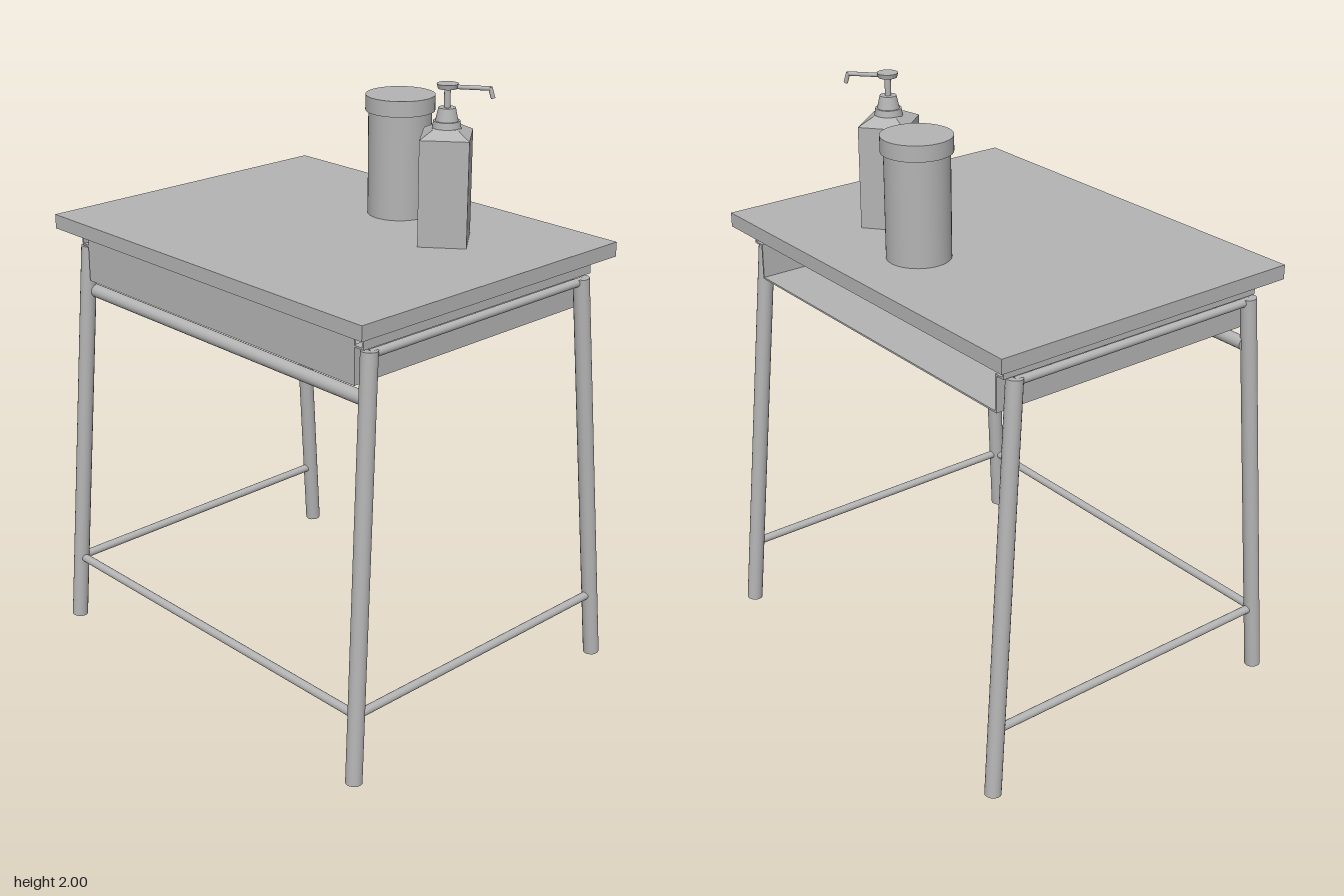
import * as THREE from 'three';

export function createModel() {
  const model = new THREE.Group();
  const grey = new THREE.MeshStandardMaterial({ color: 0xb4b4b4 });
  grey.name = 'plain grey';

  const add = (parent, name, geometry, x = 0, y = 0, z = 0) => {
    const mesh = new THREE.Mesh(geometry, grey);
    mesh.name = name;
    mesh.position.set(x, y, z);
    parent.add(mesh);
    return mesh;
  };
  // Box given by its min and max on each axis
  const slab = (parent, name, x0, x1, y0, y1, z0, z1) =>
    add(parent, name, new THREE.BoxGeometry(x1 - x0, y1 - y0, z1 - z0),
      (x0 + x1) / 2, (y0 + y1) / 2, (z0 + z1) / 2);
  // Straight round bar between two points
  const bar = (parent, name, a, b, r, sides = 20) => {
    const from = new THREE.Vector3(...a), to = new THREE.Vector3(...b);
    const dir = to.clone().sub(from);
    const mesh = add(parent, name, new THREE.CylinderGeometry(r, r, dir.length(), sides));
    mesh.position.copy(from).add(to).multiplyScalar(0.5);
    mesh.quaternion.setFromUnitVectors(new THREE.Vector3(0, 1, 0), dir.normalize());
    return mesh;
  };

  // Desk, turned very slightly
  const desk = new THREE.Group();
  desk.name = 'desk';
  desk.rotation.y = 0.0155;
  model.add(desk);
  slab(desk, 'tabletop', -0.575, 0.543, 1.452, 1.5, -0.725, 0.736);

  // Splayed legs: foot and top of each
  const foot = { left: 0.563, right: -0.58, front: 0.72, back: -0.71 };
  const top = { left: 0.445, right: -0.49, front: 0.68, back: -0.66 };
  const legPoint = (side, end, y) => {
    const t = (y - 0.01) / 1.38;
    return [THREE.MathUtils.lerp(foot[side], top[side], t), y,
      THREE.MathUtils.lerp(foot[end], top[end], t)];
  };
  for (const end of ['front', 'back']) {
    for (const side of ['left', 'right']) {
      bar(desk, end + side + 'Leg', legPoint(side, end, 0.005), legPoint(side, end, 1.39), 0.027);
    }
    bar(desk, end + 'UpperRail', legPoint('right', end, 1.378), legPoint('left', end, 1.378), 0.014);
    bar(desk, end + 'LowerRail', legPoint('right', end, 0.235), legPoint('left', end, 0.235), 0.014);
  }
  bar(desk, 'sideLowerRail', legPoint('right', 'front', 0.235), legPoint('right', 'back', 0.235), 0.014);
  bar(desk, 'sideUpperRail', [-0.485, 1.233, 0.68], [-0.485, 1.233, -0.66], 0.022);

  // Book tray, open on one long side, hung from stepped end flanges
  const x0 = -0.515, x1 = 0.487, t = 0.006;
  slab(desk, 'trayFloor', x0, x1, 1.278, 1.278 + t, -0.63, 0.645);
  slab(desk, 'trayLongWall', x0, x0 + t, 1.278, 1.453, -0.63, 0.645);
  for (const [wall, flange, s] of [[0.645, 0.682, 1], [-0.63, -0.662, -1]]) {
    const span = (name, y0, y1, a, b) =>
      slab(desk, name, x0, x1, y0, y1, Math.min(a, b), Math.max(a, b));
    span('trayEndWall', 1.278, 1.402, wall - s * t, wall);
    span('trayLedge', 1.396, 1.402, wall - s * t, flange);
    span('trayFlange', 1.396, 1.453, flange - s * t, flange);
  }

  // Jar with overhanging lid
  const jar = new THREE.Group();
  jar.name = 'jar';
  jar.position.set(0.277, 1.5, 0.028);
  model.add(jar);
  add(jar, 'jarBody', new THREE.CylinderGeometry(0.104, 0.104, 0.35, 40), 0, 0.175, 0);
  add(jar, 'jarLid', new THREE.CylinderGeometry(0.114, 0.114, 0.052, 40), 0, 0.372, 0);

  // Rectangular pump bottle
  const bottle = new THREE.Group();
  bottle.name = 'pumpBottle';
  bottle.position.set(0.167, 1.5, 0.345);
  bottle.rotation.y = 0.697;
  model.add(bottle);
  slab(bottle, 'bottleBody', -0.088, 0.088, 0, 0.34, -0.077, 0.077);
  let shoulder = new THREE.CylinderGeometry(0.045 * Math.SQRT2, 0.088 * Math.SQRT2, 0.024, 4);
  shoulder.rotateY(Math.PI / 4).scale(1, 1, 0.875);
  shoulder = shoulder.toNonIndexed();
  shoulder.computeVertexNormals();
  add(bottle, 'bottleShoulder', shoulder, 0, 0.352, 0);
  add(bottle, 'bottleCollar', new THREE.CylinderGeometry(0.042, 0.046, 0.026, 28), 0, 0.372, 0);
  add(bottle, 'pumpCap', new THREE.CylinderGeometry(0.027, 0.036, 0.042, 28), 0, 0.405, 0);
  add(bottle, 'pumpStem', new THREE.CylinderGeometry(0.01, 0.01, 0.065, 16), 0, 0.455, 0);
  add(bottle, 'pumpHead', new THREE.CylinderGeometry(0.034, 0.03, 0.015, 28), 0, 0.4925, 0);
  bar(bottle, 'pumpSpout', [0, 0.49, 0.02], [0, 0.488, 0.132], 0.007, 14);
  bar(bottle, 'spoutTip', [0, 0.492, 0.13], [0, 0.458, 0.14], 0.007, 14);

  return model;
}
